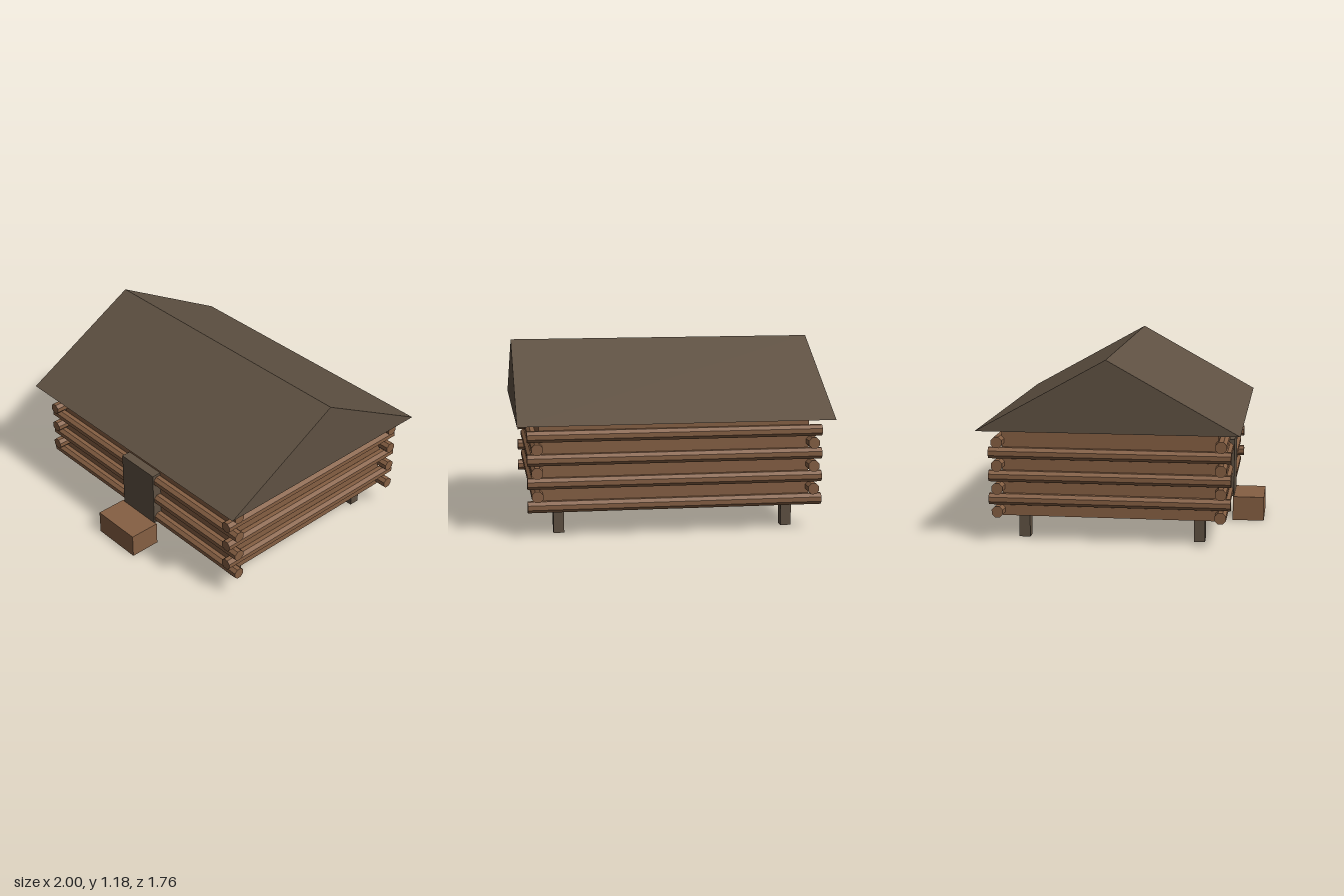
import * as THREE from 'three';

export function createModel() {
  const cabin = new THREE.Group();
  cabin.name = 'logCabin';

  const wood = new THREE.MeshStandardMaterial({ color: 0x855f43, flatShading: true });
  wood.name = 'log wood';
  const dark = new THREE.MeshStandardMaterial({ color: 0x5f5142, flatShading: true });
  dark.name = 'weathered wood';

  const add = (name, geometry, material, x, y, z) => {
    const mesh = new THREE.Mesh(geometry, material);
    mesh.name = name;
    mesh.position.set(x, y, z);
    cabin.add(mesh);
    return mesh;
  };
  // box given by its limits on each axis
  const box = (name, material, x0, x1, y0, y1, z0, z1) =>
    add(name, new THREE.BoxGeometry(x1 - x0, y1 - y0, z1 - z0), material,
      (x0 + x1) / 2, (y0 + y1) / 2, (z0 + z1) / 2);

  const midZ = -0.06, floorY = 0.16, eaveY = 0.722;

  // wall core behind the logs
  box('walls', wood, -0.86, 0.86, floorY, eaveY, midZ - 0.68, midZ + 0.68);

  // eight-sided logs, lying with a flat side up
  const logGeometry = (length, alongX) => {
    const g = new THREE.CylinderGeometry(0.038, 0.038, length, 8);
    g.rotateY(Math.PI / 8);
    return alongX ? g.rotateZ(Math.PI / 2) : g.rotateX(Math.PI / 2);
  };
  const longLog = logGeometry(1.874, true);
  const sideLog = logGeometry(1.522, false);
  const pitch = 0.148, firstY = 0.196;
  for (const side of [-1, 1]) {
    for (let i = 0; i < 4; i++) {
      add(side > 0 ? 'frontLog' : 'backLog', longLog, wood, 0, firstY + i * pitch, midZ + side * 0.7);
    }
    for (let i = 0; i < 3; i++) {
      add(side > 0 ? 'leftLog' : 'rightLog', sideLog, wood, side * 0.877, firstY + (i + 0.5) * pitch, midZ);
    }
    // stilts
    for (const z of [midZ - 0.56, midZ + 0.56]) {
      box('stilt', dark, side * 0.737 - 0.034, side * 0.737 + 0.034, 0, floorY, z - 0.035, z + 0.035);
    }
  }

  // solid gable roof, ridge along x
  const gable = new THREE.Shape();
  gable.moveTo(-0.82, 0);
  gable.lineTo(0.82, 0);
  gable.lineTo(0, 0.455);
  gable.closePath();
  const roof = new THREE.ExtrudeGeometry(gable, { depth: 2, bevelEnabled: false });
  roof.translate(0, 0, -1);
  roof.rotateY(Math.PI / 2);
  add('roof', roof, dark, 0, eaveY, midZ);

  // door and doorstep
  box('door', dark, -0.157, 0.157, floorY, 0.545, 0.6, 0.683);
  box('doorstep', wood, -0.175, 0.175, 0, floorY, 0.677, 0.885);

  return cabin;
}
